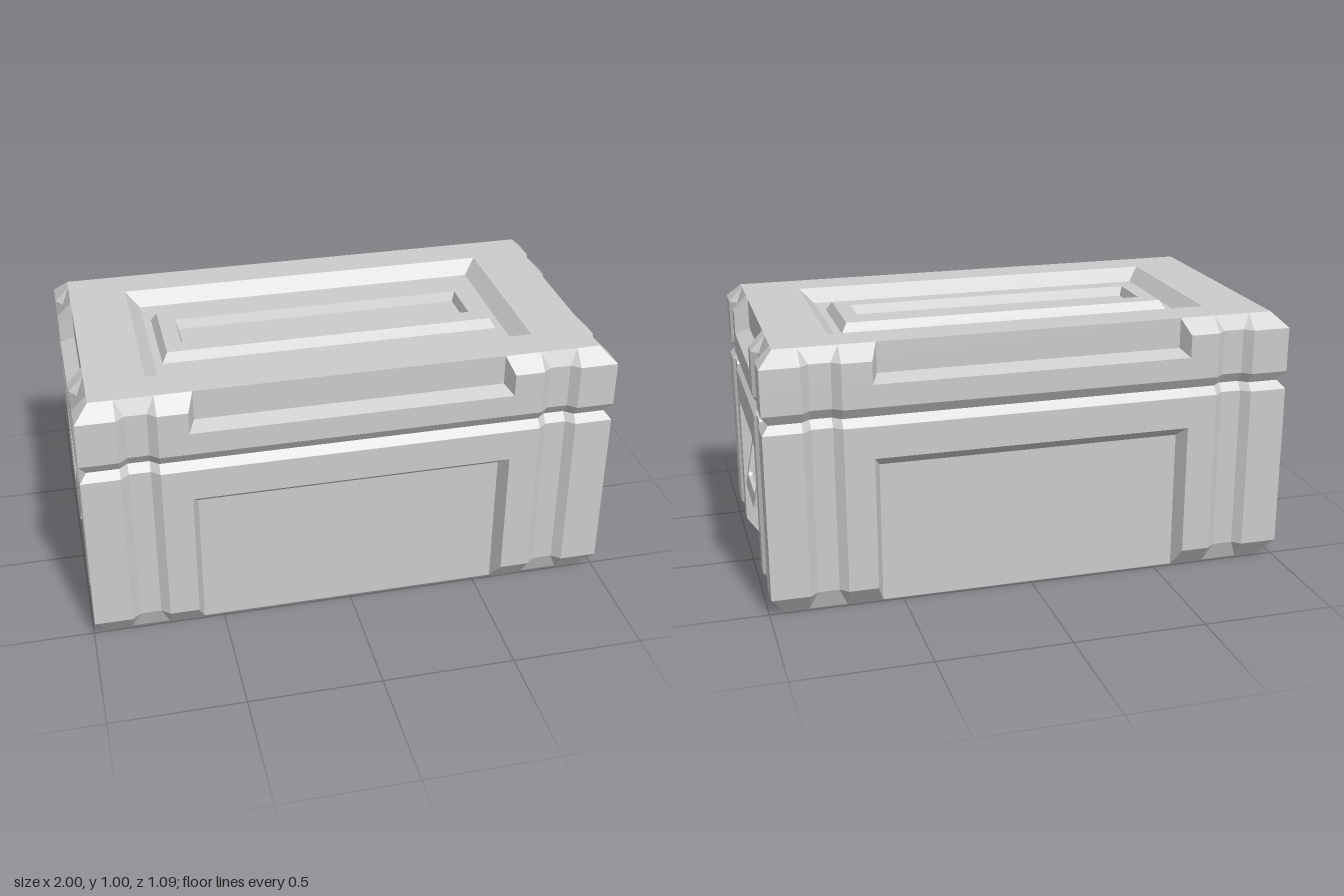
import * as THREE from 'three';

const material = new THREE.MeshStandardMaterial({ color: 0xcccccc, flatShading: true });
const W = 0.995, D = 0.543; // half width and half depth of the case
const CHAMFER = 0.055, GROOVE = 0.027;

function addMesh(parent, name, geometry) {
  const mesh = new THREE.Mesh(geometry, material);
  mesh.name = name;
  parent.add(mesh);
  return mesh;
}

// Skin closed rings of equal point count, outward for rings that run anticlockwise seen from above
function loft(rings) {
  const pos = [];
  for (let j = 0; j + 1 < rings.length; j++) {
    const lo = rings[j], hi = rings[j + 1];
    for (let i = 0; i < lo.length; i++) {
      const k = (i + 1) % lo.length;
      for (const [a, b, c] of [[lo[i], lo[k], hi[k]], [lo[i], hi[k], hi[i]]]) {
        if (a.distanceTo(b) < 1e-6 || b.distanceTo(c) < 1e-6 || a.distanceTo(c) < 1e-6) continue;
        for (const p of [a, b, c]) pos.push(p.x, p.y, p.z);
      }
    }
  }
  const g = new THREE.BufferGeometry();
  g.setAttribute('position', new THREE.Float32BufferAttribute(pos, 3));
  g.computeVertexNormals();
  return g;
}

// Half-wall positions: panel inner and outer edge, then the four groove edges
const LONG = { half: W, ui: 0.575, uo: 0.6, g: [0.71, 0.742, 0.82, 0.852] };
const SHORT = { half: D, ui: 0.23, uo: 0.243, g: [0.3, 0.333, 0.402, 0.435] };

// One horizontal section: inset of the whole wall, whether the panel is sunk, whether it is a flat rim
function section({ y, inset = 0, panel = false, rim = false }) {
  const ring = [];
  for (let side = 0; side < 4; side++) {
    const w = side % 2 ? SHORT : LONG;
    const out = side % 2 ? W : D;
    const [g1, g2, g3, g4] = w.g;
    const sunk = panel ? CHAMFER : inset;
    const half = [
      [panel || rim ? w.ui : w.uo, sunk],
      [rim ? w.ui : w.uo, inset],
      [g1, inset],
      [rim ? g1 : g2, rim ? inset : inset + GROOVE],
      [rim ? g4 : g3, rim ? inset : inset + GROOVE],
      [g4, inset],
      [w.half - inset, inset],
    ];
    const wall = [...half.map(([u, d]) => [-u, d]).reverse(), ...half.slice(0, -1)];
    for (const [u, d] of wall) {
      ring.push(new THREE.Vector3(u, y, out - d).applyAxisAngle(new THREE.Vector3(0, 1, 0), side * Math.PI / 2));
    }
  }
  return ring;
}

const rect = ([hx, hz, y]) =>
  [[-1, 1], [1, 1], [1, -1], [-1, -1]].map(([sx, sz]) => new THREE.Vector3(sx * hx, y, sz * hz));

// Extrude an outward/height profile across a centred width
function profileBar(points, width) {
  const shape = new THREE.Shape(points.map(([out, y]) => new THREE.Vector2(-out, y)));
  return new THREE.ExtrudeGeometry(shape, { depth: width, bevelEnabled: false })
    .translate(0, 0, -width / 2).rotateY(Math.PI / 2);
}

function plate(points, depth) {
  const shape = new THREE.Shape(points.map(([x, y]) => new THREE.Vector2(x, y)));
  return new THREE.ExtrudeGeometry(shape, { depth, bevelEnabled: false });
}

// Hardware of one end, built facing +z and turned outward
function endHardware(name, turn) {
  const end = new THREE.Group();
  end.name = name;

  // Hinge bracket for the carrying handle
  addMesh(end, 'handleBracket', profileBar(
    [[0.935, 0.5], [0.952, 0.5], [0.965, 0.475], [0.965, 0.45], [0.952, 0.443], [0.952, 0.42], [0.935, 0.42]], 0.285));

  // Tapered loop handle hanging slightly outward
  const loop = new THREE.Shape([[-0.14, 0.01], [-0.137, -0.11], [-0.13, -0.183], [0.13, -0.183], [0.137, -0.11], [0.14, 0.01]]
    .map(([x, y]) => new THREE.Vector2(x, y)));
  loop.holes.push(new THREE.Path([[-0.115, -0.005], [0.115, -0.005], [0.11, -0.125], [0.1, -0.137], [-0.1, -0.137], [-0.11, -0.125]]
    .map(([x, y]) => new THREE.Vector2(x, y))));
  const handle = addMesh(end, 'carryHandle', new THREE.ExtrudeGeometry(loop, { depth: 0.015, bevelEnabled: false }));
  handle.position.set(0, 0.45, 0.95);
  handle.rotation.x = -0.19;

  // Latches sitting in the vertical grooves
  for (const s of [-1, 1]) {
    const latch = new THREE.Group();
    latch.name = 'latch';
    latch.position.x = s * 0.366;
    addMesh(latch, 'latchCatch', plate(
      [[-0.033, 0.66], [0.033, 0.66], [0.03, 0.71], [0.025, 0.718], [-0.025, 0.718], [-0.03, 0.71]], 0.05)).position.z = 0.937;
    addMesh(latch, 'latchArm', plate(
      [[-0.026, 0.715], [0.026, 0.715], [0.019, 0.76], [0.019, 0.802], [-0.019, 0.802], [-0.019, 0.76]], 0.043)).position.z = 0.937;
    end.add(latch);
  }
  end.rotation.y = turn;
  return end;
}

export function createModel() {
  const crate = new THREE.Group();
  crate.name = 'storageCrate';

  // Walls: chamfered foot, sunk panel, belt groove, lid recess, chamfered top
  addMesh(crate, 'walls', loft([
    { y: 0, inset: CHAMFER, panel: true, rim: true },
    { y: 0.075, panel: true },
    { y: 0.54, panel: true },
    { y: 0.583 },
    { y: 0.705 },
    { y: 0.735, inset: 0.026 },
    { y: 0.775 },
    { y: 0.86 },
    { y: 0.885, panel: true },
    { y: 0.945, panel: true },
    { y: 1, inset: CHAMFER, panel: true, rim: true },
  ].map(section)));

  // Lid top: sunk field, raised island, sunk slot
  const rim = [W - CHAMFER, D - CHAMFER];
  addMesh(crate, 'lidTop', loft([
    [...rim, 1],
    [0.723, 0.347, 1], [0.672, 0.296, 0.95],
    [0.643, 0.18, 0.95], [0.622, 0.16, 0.985],
    [0.56, 0.092, 0.985], [0.548, 0.078, 0.95],
    [0, 0, 0.95],
  ].map(rect)));

  // Underside with a sunk field
  addMesh(crate, 'underside', loft([
    [0, 0, 0.05], [0.672, 0.296, 0.05], [0.723, 0.347, 0], [...rim, 0],
  ].map(rect)));

  crate.add(endHardware('leftEnd', Math.PI / 2), endHardware('rightEnd', -Math.PI / 2));
  return crate;
}
